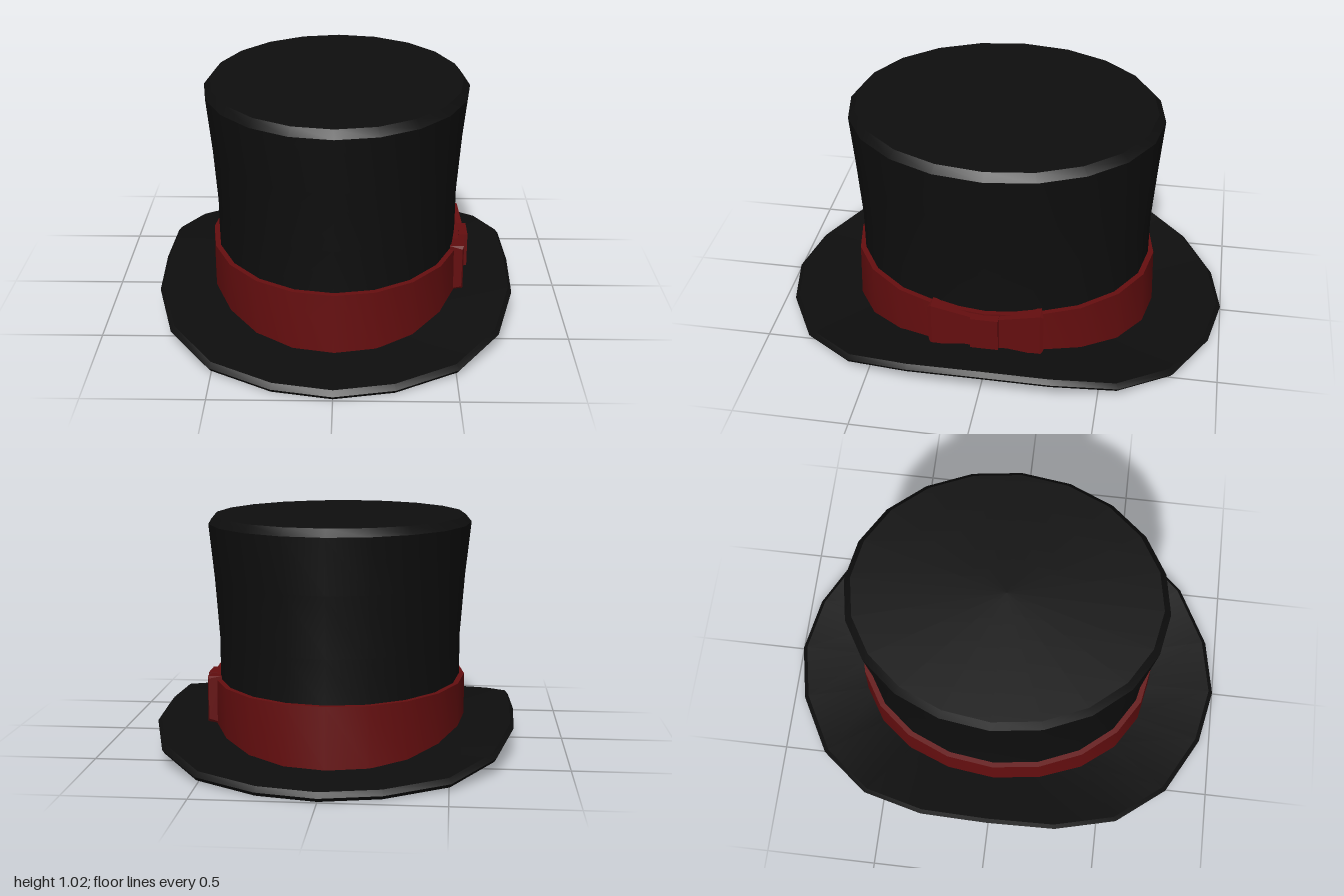
import * as THREE from 'three';
import { toCreasedNormals } from 'three/addons/utils/BufferGeometryUtils.js';
import { ConvexGeometry } from 'three/addons/geometries/ConvexGeometry.js';

const SIDES = 20;

// Curl of the brim and its width, per 18 degree step from the front (0) to the side (5)
const INNER_LIFT = [0, 0.003, 0.018, 0.045, 0.07, 0.075];
const OUTER_LIFT = [0, 0.002, 0.012, 0.055, 0.108, 0.118];
const OUTER_X = [0, 0.25, 0.51, 0.69, 0.77, 0.78];

// Mirrors a step around the full turn back into the first quarter
const quarter = (i) => {
  const h = i % 10;
  return h > 5 ? 10 - h : h;
};

// Ring of points; rule(i, sin, cos) gives [x, y, z]
function ring(rule) {
  return Array.from({ length: SIDES }, (_, i) => {
    const a = (i / SIDES) * Math.PI * 2;
    return new THREE.Vector3(...rule(i, Math.sin(a), Math.cos(a)));
  });
}

// Level ellipse, and ellipse that follows the curl where the brim meets the crown
const oval = (rx, rz, y) => ring((i, s, c) => [rx * s, y, rz * c]);
const curledOval = (rx, rz, y) => ring((i, s, c) => [rx * s, y + INNER_LIFT[quarter(i)], rz * c]);

// Outer brim ring, inset a little for the rounded rim
const brimEdge = (inset, y) => ring((i, s, c) => [
  Math.sign(s) * OUTER_X[quarter(i)] * (1 - inset),
  y + OUTER_LIFT[quarter(i)],
  c * (1 - inset),
]);

// Skin between successive rings
function loft(rings) {
  const pos = [];
  const tri = (a, b, c) => {
    if (a.distanceTo(b) < 1e-6 || b.distanceTo(c) < 1e-6 || a.distanceTo(c) < 1e-6) return;
    for (const p of [a, b, c]) pos.push(p.x, p.y, p.z);
  };
  for (let r = 0; r < rings.length - 1; r++) {
    const A = rings[r], B = rings[r + 1];
    for (let i = 0; i < SIDES; i++) {
      const j = (i + 1) % SIDES;
      tri(A[i], B[i], B[j]);
      tri(A[i], B[j], A[j]);
    }
  }
  const g = new THREE.BufferGeometry();
  g.setAttribute('position', new THREE.Float32BufferAttribute(pos, 3));
  return toCreasedNormals(g, 0.6);
}

export function createModel() {
  const felt = new THREE.MeshStandardMaterial({ color: 0x0e0e0e });
  felt.name = 'black felt';
  const ribbon = new THREE.MeshStandardMaterial({ color: 0x650e0f });
  ribbon.name = 'dark red ribbon';

  const hat = new THREE.Group();
  hat.name = 'topHat';
  const add = (parent, name, geometry, material) => {
    const mesh = new THREE.Mesh(geometry, material);
    mesh.name = name;
    parent.add(mesh);
    return mesh;
  };

  // Crown: low domed top, bevelled edge, flared wall
  add(hat, 'crown', loft([
    oval(0, 0, 1.025),
    oval(0.553, 0.655, 1.008),
    oval(0.58, 0.685, 0.975),
    oval(0.555, 0.667, 0.74),
    oval(0.536, 0.65, 0.48),
    oval(0.535, 0.65, 0.27),
    curledOval(0.535, 0.65, 0.02),
  ]), felt);

  // Brim: curled up at the sides, with a rounded rim
  add(hat, 'brim', loft([
    curledOval(0.535, 0.65, 0.03),
    brimEdge(0.02, 0.036),
    brimEdge(0, 0.016),
    brimEdge(0.012, 0),
    curledOval(0.53, 0.64, 0),
  ]), felt);

  // Hollow inside of the crown
  add(hat, 'lining', loft([
    curledOval(0.53, 0.64, 0),
    oval(0.52, 0.635, 0.3),
    oval(0.522, 0.637, 0.48),
    oval(0.56, 0.665, 0.96),
    oval(0, 0, 1.0),
  ]), felt);

  // Ribbon band
  add(hat, 'band', loft([
    oval(0.53, 0.645, 0.292),
    oval(0.558, 0.675, 0.292),
    curledOval(0.56, 0.684, 0.025),
  ]), ribbon);

  // Bow on the left side: two flared wings and a knot
  const bow = new THREE.Group();
  bow.name = 'bow';
  hat.add(bow);
  const V = (x, y, z) => new THREE.Vector3(x, y, z);
  for (const side of [1, -1]) {
    const inner = side * 0.04, outer = side * 0.235;
    add(bow, side > 0 ? 'frontWing' : 'backWing', new ConvexGeometry([
      V(0.53, 0.14, inner), V(0.53, 0.28, inner), V(0.577, 0.14, inner), V(0.577, 0.28, inner),
      V(0.5, 0.1, outer), V(0.5, 0.31, outer), V(0.562, 0.1, outer), V(0.562, 0.31, outer),
      V(0.555, 0.12, side * 0.25), V(0.555, 0.3, side * 0.25),
    ]), ribbon);
  }
  const knot = add(bow, 'knot', new THREE.BoxGeometry(0.055, 0.155, 0.12), ribbon);
  knot.position.set(0.564, 0.208, 0);

  return hat;
}
